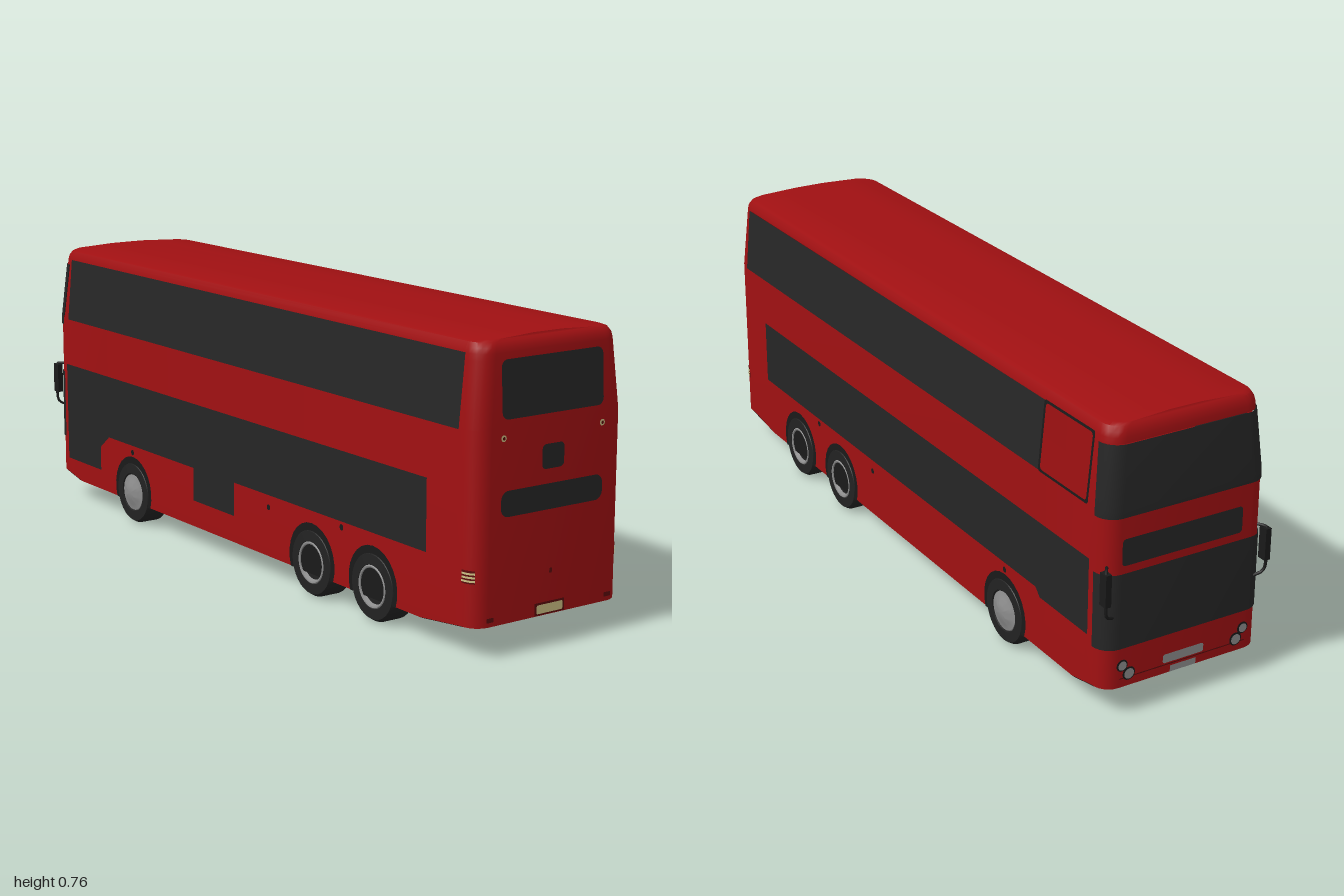
import * as THREE from 'three';
import { toCreasedNormals } from 'three/addons/utils/BufferGeometryUtils.js';

const mat = (name, color) => new THREE.MeshStandardMaterial({ name, color, side: THREE.DoubleSide });

// Body profile rows: y, half width, front z, rear z
const PROFILE = [
  [0.06, 0.232, -0.9, 0.84], [0.078, 0.232, -0.985, 0.997], [0.55, 0.232, -0.983, 0.997],
  [0.71, 0.217, -0.97, 0.988], [0.725, 0.2155, -0.969, 0.987], [0.738, 0.213, -0.966, 0.985],
  [0.75, 0.206, -0.96, 0.978], [0.755, 0.192, -0.955, 0.972], [0.76, 0.09, -0.953, 0.97],
];
const LEVELS = PROFILE.map((p) => p[0]);
const R = 0.045, ARC = 6;

function profileAt(y) {
  let k = 0;
  while (k < PROFILE.length - 2 && y > PROFILE[k + 1][0]) k++;
  const a = PROFILE[k], b = PROFILE[k + 1], t = (y - a[0]) / (b[0] - a[0]);
  return [1, 2, 3].map((n) => a[n] + (b[n] - a[n]) * t);
}

// Rounded plan outline at height y: +x side, front, -x side, rear
function section(y, off = 0) {
  let [w, f, b] = profileAt(y);
  w += off; f -= off; b += off;
  const r = R + off, pts = [];
  const side = [0.93, -0.7, -0.905].map((z) => Math.min(b - r, Math.max(f + r, z)));
  const arc = (cx, cz, a0) => {
    for (let k = 0; k <= ARC; k++) {
      const a = a0 + (k / ARC) * Math.PI / 2;
      pts.push([cx + r * Math.cos(a), cz - r * Math.sin(a)]);
    }
  };
  side.forEach((z) => pts.push([w, z]));
  arc(w - r, f + r, 0);
  arc(r - w, f + r, Math.PI / 2);
  side.reverse().forEach((z) => pts.push([-w, z]));
  arc(r - w, b - r, Math.PI);
  arc(w - r, b - r, Math.PI * 1.5);
  return pts;
}

// Skin through the outlines; keep(segment, row) picks the faces
function skin(levels, keep, off = 0, caps = '') {
  const rows = levels.map((y) => section(y, off).map(([x, z]) => [x, y, z]));
  const n = rows[0].length, pos = [];
  const tri = (a, b, c) => pos.push(...a, ...b, ...c);
  for (let j = 0; j < rows.length - 1; j++) {
    for (let i = 0; i < n; i++) {
      if (!keep(i, j)) continue;
      const k = (i + 1) % n;
      tri(rows[j][i], rows[j][k], rows[j + 1][k]);
      tri(rows[j][i], rows[j + 1][k], rows[j + 1][i]);
    }
  }
  const row = caps === 'top' ? rows[rows.length - 1] : rows[0];
  if (caps) for (let i = 1; i < n - 1; i++) {
    if (caps === 'top') tri(row[0], row[i], row[i + 1]);
    else tri(row[0], row[i + 1], row[i]);
  }
  const g = new THREE.BufferGeometry();
  g.setAttribute('position', new THREE.Float32BufferAttribute(pos, 3));
  return toCreasedNormals(g, 0.6);
}

// Flat plate laid on a body face; shape is (z, y) on sides, (x, y) on ends
function plate(shape, face, off = 0.003) {
  const g = new THREE.ShapeGeometry(shape, 8), p = g.attributes.position;
  for (let i = 0; i < p.count; i++) {
    const u = p.getX(i), y = p.getY(i), [w, f, b] = profileAt(Math.max(y, 0.078));
    if (face === '+x') p.setXYZ(i, w + off, y, u);
    if (face === '-x') p.setXYZ(i, -w - off, y, u);
    if (face === 'front') p.setXYZ(i, u, y, f - off);
    if (face === 'rear') p.setXYZ(i, u, y, b + off);
  }
  if (face === '+x' || face === 'front') g.index.array.reverse();
  g.computeVertexNormals();
  return g;
}
const poly = (pts) => new THREE.Shape(pts.map(([a, b]) => new THREE.Vector2(a, b)));
const disc = (u, y, r) => new THREE.Shape().absarc(u, y, r, 0, Math.PI * 2);
function rounded(u0, u1, y0, y1, r = 0.001) {
  const s = new THREE.Shape();
  s.absarc(u1 - r, y1 - r, r, 0, Math.PI / 2);
  s.absarc(u0 + r, y1 - r, r, Math.PI / 2, Math.PI);
  s.absarc(u0 + r, y0 + r, r, Math.PI, Math.PI * 1.5);
  s.absarc(u1 - r, y0 + r, r, Math.PI * 1.5, Math.PI * 2);
  return s;
}

export function createModel() {
  const red = mat('body red', 0xa01012), glass = mat('dark glass', 0x262626);
  const black = mat('black trim', 0x1a1a1a), tyreMat = mat('tyre', 0x222222);
  const grey = mat('metal grey', 0x8c8c8c), tan = mat('plate yellow', 0xcdbf84);
  const dark = mat('dark red', 0x5a0a0b);
  const bus = new THREE.Group();
  bus.name = 'doubleDeckBus';
  const add = (name, geo, m, parent = bus) => {
    const mesh = new THREE.Mesh(geo, m);
    mesh.name = name;
    parent.add(mesh);
    return mesh;
  };

  // Body shell with upper window openings, and black underside
  const isSide = (i) => i < 3 || (i > 15 && i < 20);
  const isOpening = (i, j) => ((j === 2 || j === 3) && [0, 1, 17, 18].includes(i)) ||
    (j === 2 && i >= 3 && i < 16);
  add('bodyShell', skin(LEVELS, (i, j) => (j > 0 || isSide(i)) && !isOpening(i, j), 0, 'top'), red);
  add('underside', skin([0.06, 0.078], (i) => !isSide(i), 0, 'bottom'), black);

  // Upper side windows; the front pane on +x is open
  add('upperWindowLeft', plate(rounded(-0.7, 0.935, 0.548, 0.726), '+x'), glass);
  add('upperWindowRight', plate(rounded(-0.91, 0.935, 0.548, 0.726), '-x'), glass);
  const frame = rounded(-0.91, -0.695, 0.546, 0.729, 0.008);
  frame.holes.push(rounded(-0.902, -0.703, 0.553, 0.722, 0.01));
  add('openWindowFrame', plate(frame, '+x', 0.004), black);

  // Lower side windows, with the two doors on -x
  add('lowerWindowLeft', plate(poly([[0.82, 0.41], [0.82, 0.228], [-0.69, 0.228], [-0.71, 0.207],
    [-0.92, 0.207], [-0.92, 0.41]]), '+x'), glass);
  add('lowerWindowAndDoors', plate(poly([[0.82, 0.41], [0.82, 0.228], [-0.01, 0.228], [-0.01, 0.135],
    [-0.215, 0.135], [-0.215, 0.228], [-0.68, 0.228], [-0.73, 0.19], [-0.73, 0.12],
    [-0.925, 0.12], [-0.925, 0.41]]), '-x'), glass);

  // Wraparound windscreens and destination window
  const frontWrap = (i) => i >= 3 && i < 16;
  add('upperWindscreen', skin([0.53, 0.55, 0.71], frontWrap, 0.003), glass);
  add('lowerWindscreen', skin([0.185, 0.385], frontWrap, 0.003), glass);
  add('destinationWindow', plate(rounded(-0.16, 0.187, 0.405, 0.475, 0.01), 'front'), glass);

  // Front lamps, badge strip and number plate
  for (const s of [-1, 1]) {
    [[0.178, 0.138, 0.012], [0.158, 0.112, 0.014]].forEach(([x, y, r]) => {
      add('headlampSurround', plate(disc(s * x, y, r + 0.004), 'front', 0.002), black);
      add('headlamp', plate(disc(s * x, y, r), 'front', 0.004), grey);
    });
  }
  add('frontGrille', plate(rounded(-0.06, 0.06, 0.108, 0.132, 0.006), 'front'), grey);
  add('frontPlate', plate(rounded(-0.038, 0.038, 0.08, 0.097), 'front'), grey);
  add('bumperSeam', plate(rounded(-0.185, 0.185, 0.101, 0.104), 'front', 0.002), dark);

  // Rear windows, hatch, plate and lamps
  add('rearUpperWindow', plate(rounded(-0.157, 0.157, 0.57, 0.71, 0.018), 'rear'), glass);
  add('rearHatch', plate(rounded(-0.034, 0.034, 0.437, 0.497, 0.012), 'rear'), glass);
  add('rearLowerWindow', plate(rounded(-0.158, 0.158, 0.338, 0.401, 0.022), 'rear'), glass);
  add('rearPlateFrame', plate(rounded(-0.047, 0.047, 0.08, 0.111), 'rear', 0.002), dark);
  add('rearPlate', plate(rounded(-0.041, 0.041, 0.084, 0.106, 0.004), 'rear', 0.003), tan);
  add('rearHandle', plate(rounded(-0.004, 0.004, 0.181, 0.193), 'rear'), dark);
  for (const s of [-1, 1]) {
    add('rearHighLamp', plate(disc(s * 0.153, 0.527, 0.008), 'rear'), tan);
    add('rearHighLampCore', plate(disc(s * 0.153, 0.527, 0.004), 'rear', 0.004), dark);
    add('rearReflector', plate(rounded(s * 0.185 - 0.011, s * 0.185 + 0.011, 0.09, 0.101), 'rear'), dark);
  }
  const rearCorner = (i) => (i >= 20 && i < 23) || (i >= 30 && i < 33);
  add('rearCornerLampBase', skin([0.185, 0.217], rearCorner, 0.001), dark);
  for (const y of [0.191, 0.2, 0.209]) add('rearCornerLamp', skin([y - 0.002, y + 0.003], rearCorner, 0.002), tan);

  // Side marker lamps
  for (const face of ['+x', '-x']) {
    for (const [z, y] of [[0.48, 0.213], [0.155, 0.195], [-0.545, 0.208]])
      add('sideMarker', plate(disc(z, y, 0.008), face), black);
  }

  // Wheels and arches
  const lathe = (pts) => {
    const g = new THREE.LatheGeometry(pts.map(([r, h]) => new THREE.Vector2(r, h)), 32);
    return toCreasedNormals(g.rotateZ(-Math.PI / 2), 0.6);
  };
  const tyre = lathe([[0.05, 0], [0.084, 0], [0.09, 0.008], [0.09, 0.06], [0.083, 0.071], [0.056, 0.072], [0.053, 0.06]]);
  const frontHub = lathe([[0.055, 0.062], [0.052, 0.07], [0.036, 0.073], [0.022, 0.08], [0, 0.081]]);
  const rearRim = lathe([[0.057, 0.069], [0.053, 0.073], [0.049, 0.072], [0.044, 0.058]]);
  const rearDish = lathe([[0.05, 0.062], [0.03, 0.062], [0.022, 0.068], [0, 0.069]]);
  const inner = lathe([[0.052, 0.002], [0, 0.002]]);
  for (const s of [-1, 1]) {
    for (const z of [0.61, 0.35, -0.545]) {
      const wheel = new THREE.Group();
      wheel.name = z < 0 ? 'frontWheel' : 'rearWheel';
      wheel.position.set(s * 0.165, 0.09, z);
      wheel.rotation.y = s < 0 ? Math.PI : 0;
      add('tyre', tyre, tyreMat, wheel);
      add('innerDisc', inner, grey, wheel);
      if (z < 0) add('hub', frontHub, grey, wheel);
      else {
        add('rim', rearRim, grey, wheel);
        add('dish', rearDish, tyreMat, wheel);
      }
      bus.add(wheel);
      const arch = new THREE.Shape().absarc(z, 0.095, 0.1, -0.36, Math.PI + 0.36);
      add('wheelArch', plate(arch, s > 0 ? '+x' : '-x', 0.002), black);
    }
  }

  // Mirrors on bent arms
  for (const s of [-1, 1]) {
    const housing = add('mirror', new THREE.BoxGeometry(0.016, 0.085, 0.026), black);
    housing.position.set(s * 0.232, 0.358, -0.987);
    const path = new THREE.CatmullRomCurve3([[0.2, 0.27, -0.978], [0.229, 0.285, -0.99],
      [0.234, 0.33, -0.993], [0.234, 0.4, -0.99], [0.215, 0.405, -0.965]]
      .map(([x, y, z]) => new THREE.Vector3(s * x, y, z)));
    add('mirrorArm', new THREE.TubeGeometry(path, 20, 0.004, 6), black);
  }
  return bus;
}
